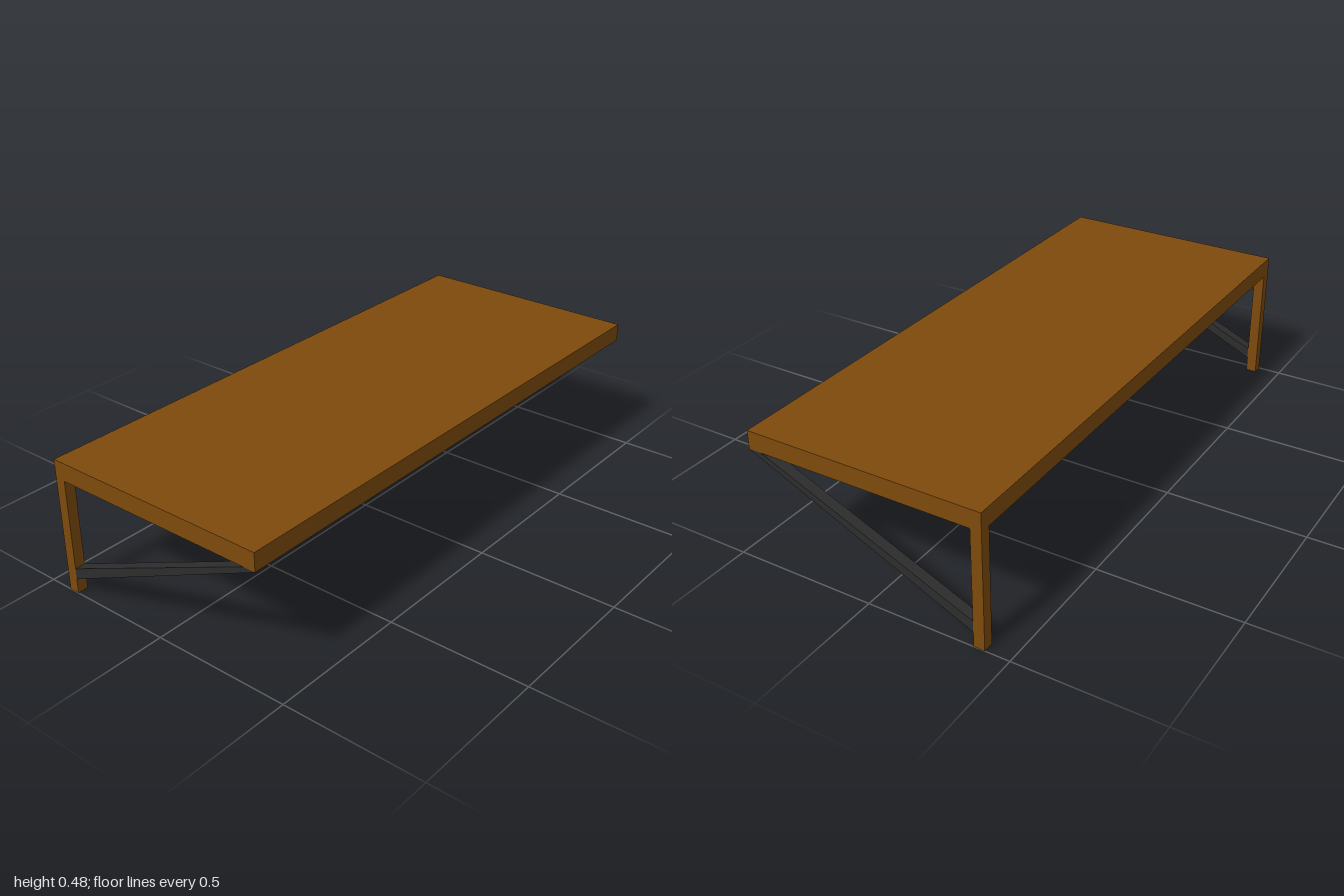
import * as THREE from 'three';

export function createModel() {
  const wood = new THREE.MeshStandardMaterial({ color: 0x7d4a0c });
  wood.name = 'brown wood';
  const iron = new THREE.MeshStandardMaterial({ color: 0x2d2d2d });
  iron.name = 'dark iron';

  const group = new THREE.Group();
  group.name = 'wallShelf';
  const add = (name, geometry, material, x, y, z) => {
    const mesh = new THREE.Mesh(geometry, material);
    mesh.name = name;
    mesh.position.set(x, y, z);
    group.add(mesh);
  };

  // Shelf board
  const bottom = 0.412, top = 0.476, depth = 0.83, post = 0.038;
  add('shelfBoard', new THREE.BoxGeometry(2, top - bottom, depth), wood, 0, (top + bottom) / 2, 0);

  // Side profile of the tapering diagonal brace, drawn as (z, y)
  const profile = new THREE.Shape([
    [-0.378, 0.053], [0.415, 0.412], [0.37, 0.412], [-0.378, 0.092],
  ].map(([z, y]) => new THREE.Vector2(-z, y)));
  const brace = new THREE.ExtrudeGeometry(profile, { depth: post, bevelEnabled: false });
  brace.translate(0, 0, -post / 2);
  brace.rotateY(Math.PI / 2);

  // Back post and brace at each end
  for (const [side, s] of [['left', 1], ['right', -1]]) {
    const x = s * (1 - post / 2);
    add(side + 'Post', new THREE.BoxGeometry(post, bottom, post), wood, x, bottom / 2, -depth / 2 + post / 2);
    add(side + 'Brace', brace, iron, x, 0, 0);
  }
  return group;
}
